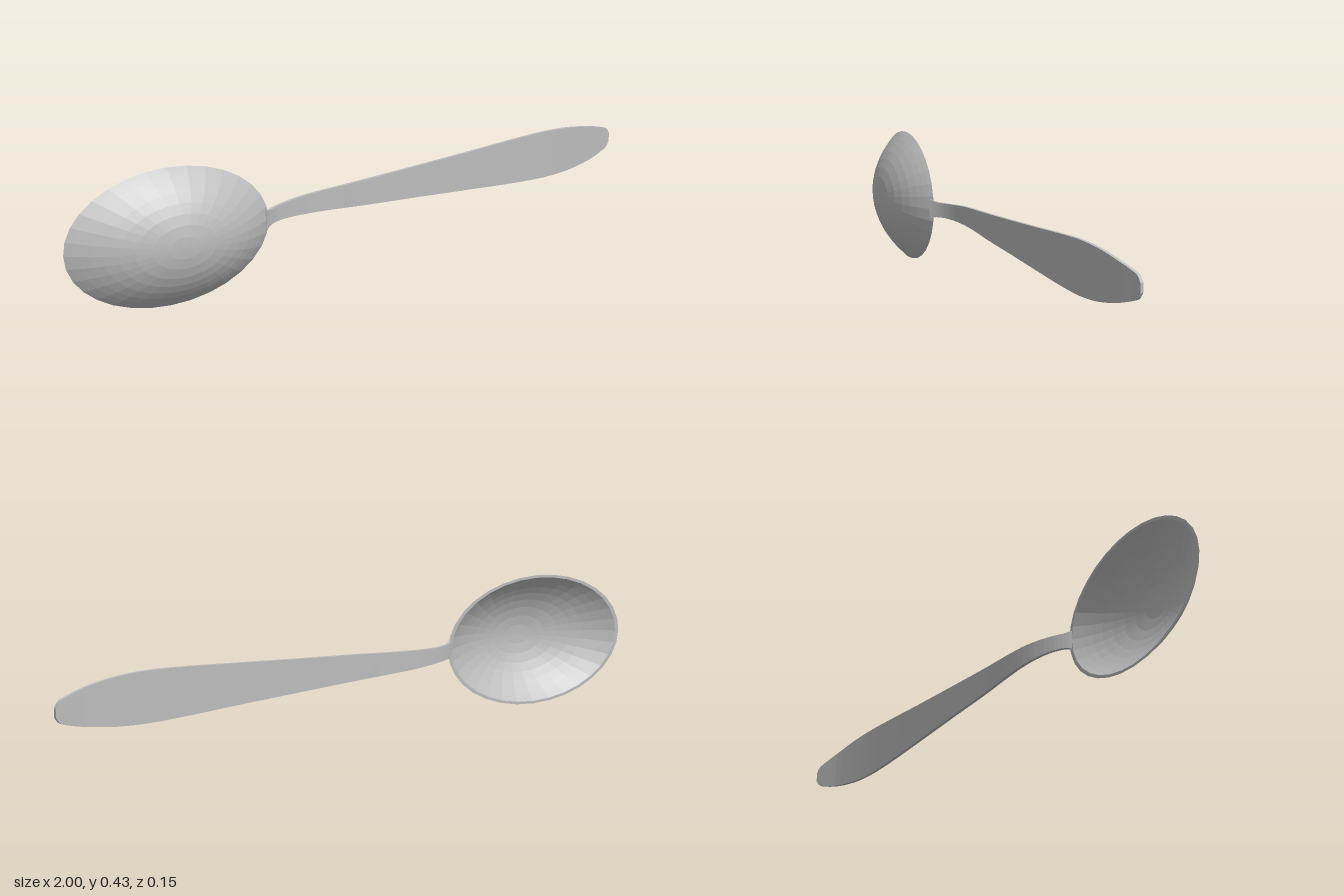
import * as THREE from 'three';

const MID_Y = 0.217;

// Flat facets: every triangle gets its own normal
function faceted(geometry) {
  const g = geometry.toNonIndexed();
  g.computeVertexNormals();
  return g;
}

// Thin shell: a lathed dome stretched to an oval, with its rim tilted
function bowlGeometry() {
  const depth = 0.106, rings = 10, inner = 0.96, wall = 0.009;
  const dome = (r) => 1 - Math.pow(r, 2.2);
  const profile = [];
  for (let i = 0; i <= rings; i++) {
    const r = Math.sin((i / rings) * Math.PI / 2);
    profile.push(new THREE.Vector2(r * inner, (depth - wall) * dome(r)));
  }
  for (let i = rings; i >= 0; i--) {
    const r = Math.sin((i / rings) * Math.PI / 2);
    profile.push(new THREE.Vector2(r, depth * dome(r)));
  }
  const g = new THREE.LatheGeometry(profile, 32);
  g.rotateX(Math.PI / 2);
  g.scale(0.32, 0.215, 1);
  g.translate(-0.68, MID_Y, 0);
  const p = g.attributes.position;
  for (let i = 0; i < p.count; i++) {
    p.setZ(i, p.getZ(i) - 0.075 + (p.getX(i) + 1) * 0.117);
  }
  return faceted(g);
}

// Flat bar bent along a curve whose points are (x, half width, z)
function handleGeometry() {
  const path = new THREE.CatmullRomCurve3([
    [-0.375, 0.032, 0.006], [-0.355, 0.025, -0.008], [-0.32, 0.024, -0.025],
    [-0.27, 0.026, -0.038], [-0.2, 0.030, -0.044], [-0.1, 0.035, -0.039],
    [0, 0.041, -0.030], [0.2, 0.052, -0.018], [0.4, 0.064, -0.006],
    [0.58, 0.075, 0.003], [0.7, 0.079, 0.007], [0.8, 0.074, 0.007],
    [0.9, 0.058, 0.002], [0.96, 0.042, -0.007], [0.985, 0.032, -0.011],
    [0.998, 0.014, -0.013],
  ].map((a) => new THREE.Vector3(...a)));
  const thickness = 0.01;
  const g = new THREE.BoxGeometry(1, 1, 1, 45, 1, 1);
  const p = g.attributes.position;
  for (let i = 0; i < p.count; i++) {
    const u = THREE.MathUtils.clamp(p.getX(i) + 0.5, 0, 1);
    const c = path.getPoint(u), t = path.getTangent(u);
    const len = Math.hypot(t.x, t.z);
    const off = p.getZ(i) * thickness;
    p.setXYZ(i,
      c.x - (t.z / len) * off,
      MID_Y + Math.sign(p.getY(i)) * c.y,
      c.z + (t.x / len) * off);
  }
  return faceted(g);
}

export function createModel() {
  const steel = new THREE.MeshStandardMaterial({ color: 0xbcbcbc });
  steel.name = 'steel';

  const spoon = new THREE.Group();
  spoon.name = 'spoon';
  const parts = { bowl: bowlGeometry(), handle: handleGeometry() };
  for (const [name, geometry] of Object.entries(parts)) {
    const mesh = new THREE.Mesh(geometry, steel);
    mesh.name = name;
    spoon.add(mesh);
  }
  return spoon;
}
